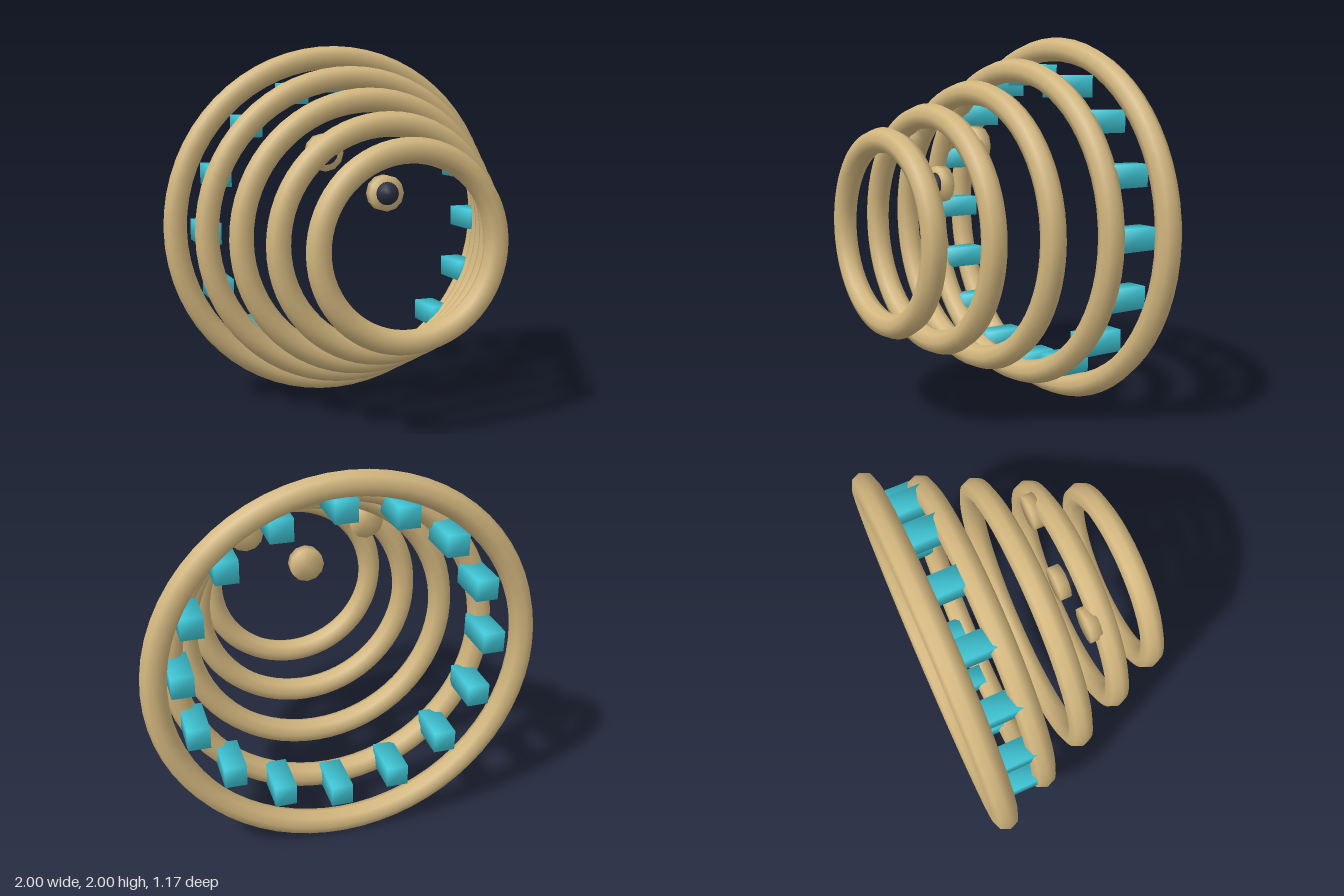
import * as THREE from 'three';
import { mergeVertices } from 'three/addons/utils/BufferGeometryUtils.js';

// Weld all corners so the shading runs softly across the edges
function soften(geometry) {
  geometry.deleteAttribute('normal');
  geometry.deleteAttribute('uv');
  const welded = mergeVertices(geometry, 1e-4);
  welded.computeVertexNormals();
  return welded;
}

export function createModel() {
  const model = new THREE.Group();
  model.name = 'ringCone';

  const sand = new THREE.MeshStandardMaterial({ color: 0xd2b67e });
  sand.name = 'sand';
  const teal = new THREE.MeshStandardMaterial({ color: 0x40c8d8 });
  teal.name = 'teal';
  const dark = new THREE.MeshStandardMaterial({ color: 0x2a2e3e });
  dark.name = 'dark slate';

  const add = (name, geometry, material, x, y, z, parent = model) => {
    const mesh = new THREE.Mesh(geometry, material);
    mesh.name = name;
    mesh.position.set(x, y, z);
    parent.add(mesh);
    return mesh;
  };

  // Five rings, shrinking towards the front
  const tube = 0.064;
  for (let i = 0; i < 5; i++) {
    const radius = 0.936 - i * 0.116;
    add('ring' + (i + 1), new THREE.TorusGeometry(radius, tube, 8, 64), sand, 0, 1, -0.52 + i * 0.26);
  }

  // Upright blocks in a circle between the two largest rings
  const blocks = new THREE.Group();
  blocks.name = 'blocks';
  model.add(blocks);
  const blockGeometry = soften(new THREE.BoxGeometry(0.114, 0.114, 0.24));
  for (let i = 0; i < 16; i++) {
    const a = (i / 16) * Math.PI * 2;
    add('block', blockGeometry, teal, 0.797 * Math.cos(a), 1 + 0.797 * Math.sin(a), -0.39, blocks);
  }

  // Two eyes on the fourth ring and one hanging below them
  const discGeometry = soften(new THREE.CylinderGeometry(0.093, 0.093, 0.06, 12).rotateX(Math.PI / 2));
  const pupilGeometry = new THREE.SphereGeometry(0.06, 12, 8);
  for (const [x, y] of [[-0.33, 1.45], [0.33, 1.45], [0, 1.235]]) {
    const eye = new THREE.Group();
    eye.name = 'eye';
    eye.position.set(x, y, 0.2);
    model.add(eye);
    add('eyeDisc', discGeometry, sand, 0, 0, 0, eye);
    add('pupil', pupilGeometry, dark, 0, 0, 0.03, eye);
  }

  return model;
}
